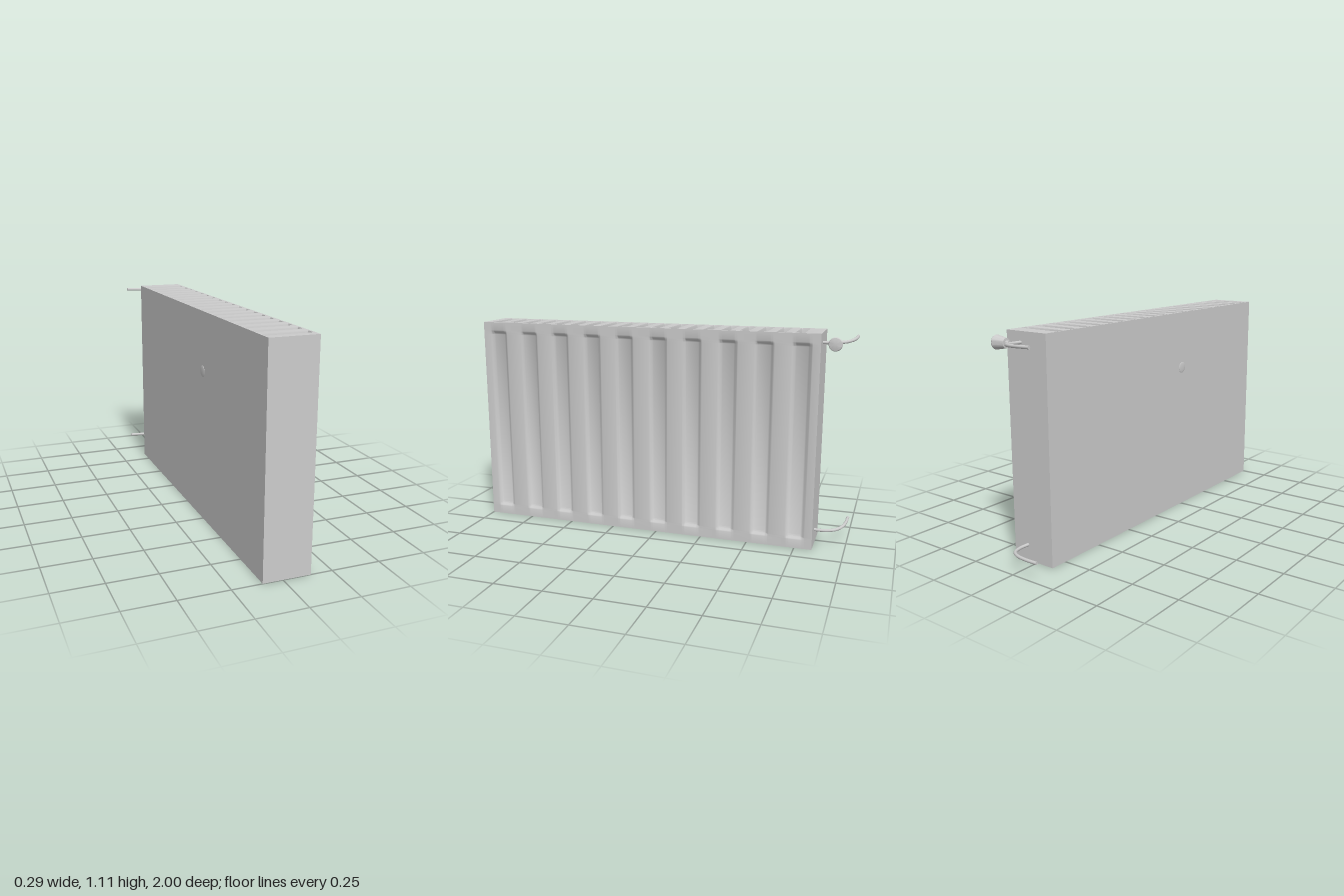
import * as THREE from 'three';
import { toCreasedNormals } from 'three/addons/utils/BufferGeometryUtils.js';

const X0 = -0.1, X1 = 0.14, H = 1.105, Z0 = -0.84, Z1 = 1;
const material = new THREE.MeshStandardMaterial({ color: 0xcccccc, side: THREE.DoubleSide });
const axis = { x: new THREE.Vector3(1, 0, 0), y: new THREE.Vector3(0, 1, 0), z: new THREE.Vector3(0, 0, 1) };

function add(parent, name, geometry) {
  const mesh = new THREE.Mesh(geometry, material);
  mesh.name = name;
  parent.add(mesh);
  return mesh;
}

// Grid lines for a panel side: extra lines along both slopes of each recess
function gridLines(range, recesses, slope) {
  const lines = [...range];
  for (const [a, b] of recesses) {
    for (let i = 0; i <= 4; i++) lines.push(a + slope * i / 4, b - slope * i / 4);
  }
  return lines.sort((p, q) => p - q);
}

// 0 outside all recesses, 1 on their floors, smooth in between
function recessAt(t, recesses, slope) {
  let depth = 0;
  for (const [a, b] of recesses) {
    depth = Math.max(depth, THREE.MathUtils.smoothstep(Math.min(t - a, b - t), 0, slope));
  }
  return depth;
}

// Flat panel facing u x v, pressed inwards where the u and v recesses cross
function panel(u, v, uRange, vRange, offset, press = { u: [], v: [], slope: 0.01, depth: 0 }) {
  const us = gridLines(uRange, press.u, press.slope);
  const vs = gridLines(vRange, press.v, press.slope).reverse();
  const normal = axis[u].clone().cross(axis[v]);
  const geometry = new THREE.PlaneGeometry(1, 1, us.length - 1, vs.length - 1);
  const pos = geometry.attributes.position;
  const p = new THREE.Vector3();
  for (let i = 0; i < pos.count; i++) {
    const a = us[i % us.length], b = vs[Math.floor(i / us.length)];
    const d = press.depth * recessAt(a, press.u, press.slope) * recessAt(b, press.v, press.slope);
    p.copy(normal).multiplyScalar(offset - d).addScaledVector(axis[u], a).addScaledVector(axis[v], b);
    pos.setXYZ(i, p.x, p.y, p.z);
  }
  geometry.computeVertexNormals();
  return toCreasedNormals(geometry, 0.7);
}

export function createModel() {
  const model = new THREE.Group();
  model.name = 'radiator';

  // Casing: plain back, ends and base
  const casing = new THREE.Group();
  casing.name = 'casing';
  model.add(casing);
  const xs = [X0, X1], ys = [0, H], zs = [Z0, Z1];
  add(casing, 'backPanel', panel('z', 'y', zs, ys, -X0));
  add(casing, 'endPanel', panel('x', 'y', xs, ys, Z1));
  add(casing, 'pipeEndPanel', panel('y', 'x', ys, xs, -Z0));
  add(casing, 'basePanel', panel('x', 'z', xs, zs, 0));

  // Main face with ten pressed vertical channels
  const channels = Array.from({ length: 10 }, (_, i) => [0.858 - i * 0.1845, 0.962 - i * 0.1845]);
  add(casing, 'channelPanel', panel('y', 'z', ys, zs, X1,
    { u: [[0.045, 1.062]], v: channels, slope: 0.024, depth: 0.016 }));

  // Top grille with nineteen slots
  const slots = Array.from({ length: 19 }, (_, i) => [-0.76 + i * 0.0925, -0.712 + i * 0.0925]);
  add(casing, 'topGrille', panel('z', 'x', zs, xs, H,
    { u: slots, v: [[-0.092, 0.13]], slope: 0.008, depth: 0.045 }));

  // Small vent cap on the back
  const cap = add(model, 'ventCap', new THREE.SphereGeometry(0.03, 20, 10));
  cap.scale.x = 0.12;
  cap.position.set(X0, 0.8, 0.245);

  // Supply and return pipes bending towards the wall
  for (const [name, y] of [['upperPipe', 1.053], ['lowerPipe', 0.08]]) {
    const curve = new THREE.CatmullRomCurve3([
      [0.055, 0, -0.83], [0.055, 0.001, -0.895], [0.035, 0.004, -0.945],
      [-0.01, 0.008, -0.975], [-0.07, 0.011, -0.988], [-0.147, 0.014, -0.992],
    ].map(([x, dy, z]) => new THREE.Vector3(x, y + dy, z)));
    add(model, name, new THREE.TubeGeometry(curve, 32, 0.008, 12));
    const end = add(model, name + 'End', new THREE.CircleGeometry(0.008, 12));
    end.position.set(-0.147, y + 0.014, -0.992);
    end.rotation.y = -Math.PI / 2;
  }

  // Valve knob: flared, with a slightly domed outer end
  const profile = [[0, 0], [0.012, 0], [0.012, 0.018], [0.023, 0.019], [0.034, 0.08], [0.031, 0.086], [0.018, 0.089], [0, 0.09]]
    .map(([r, h]) => new THREE.Vector2(r, h));
  const knob = add(model, 'valveKnob', toCreasedNormals(new THREE.LatheGeometry(profile, 28), 0.6));
  knob.rotation.z = -Math.PI / 2;
  knob.position.set(0.054, 1.056, -0.908);

  return model;
}
